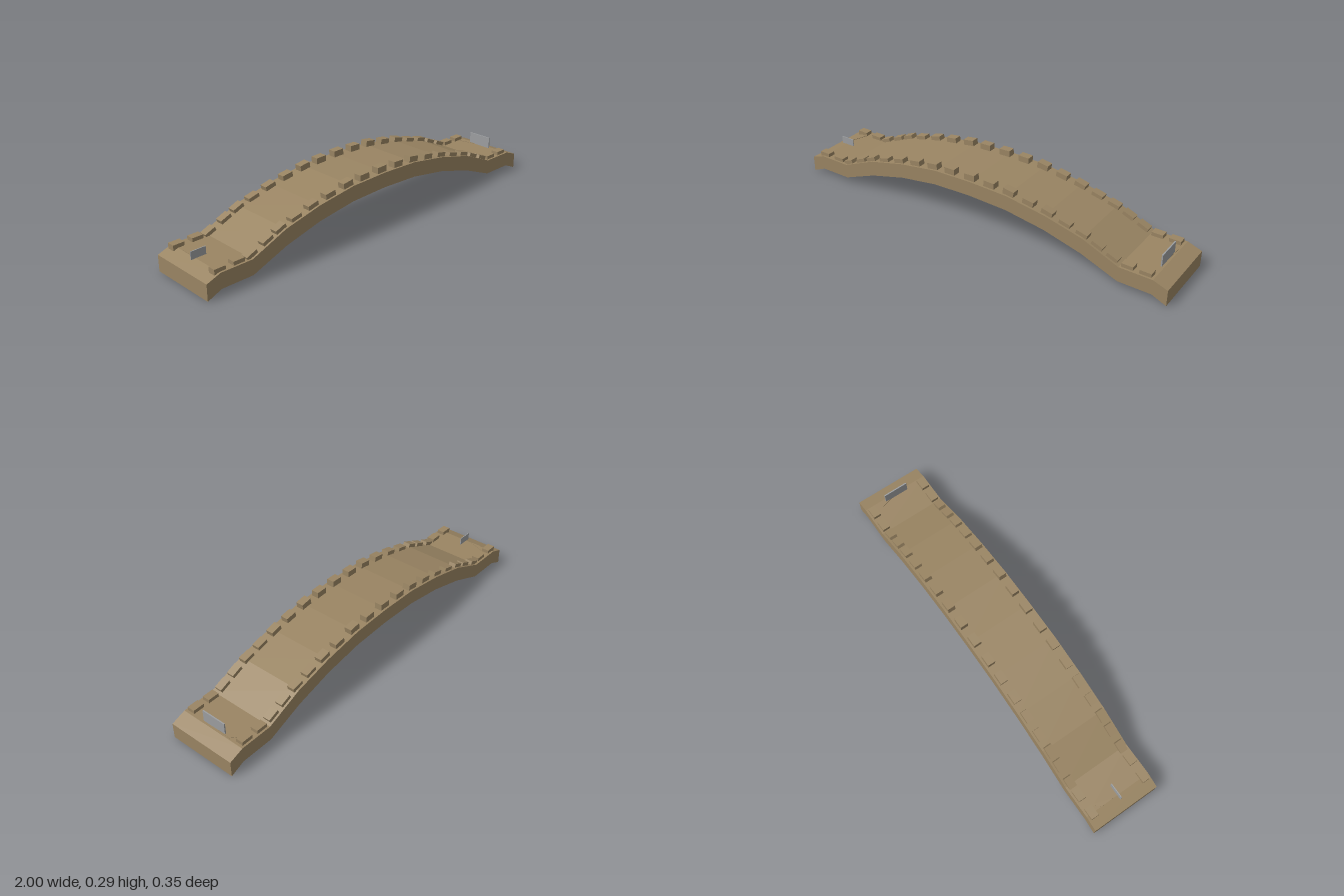
import * as THREE from 'three';

// Half of the deck profile from the crown outward: x, top y, underside y
const PROFILE = [
  [0, 0.26, 0.187], [0.2, 0.254, 0.18], [0.4, 0.224, 0.15], [0.59, 0.178, 0.1],
  [0.77, 0.103, 0.03], [0.93, 0.103, 0.03], [1, 0.078, 0],
];
const HALF_WIDTH = 0.173;

// Height and slope of the deck surface at a given x
function deckAt(x) {
  const a = Math.abs(x);
  let i = 1;
  while (i < PROFILE.length - 1 && PROFILE[i][0] < a) i++;
  const [x0, y0] = PROFILE[i - 1], [x1, y1] = PROFILE[i];
  const slope = (y1 - y0) / (x1 - x0);
  return { y: y0 + slope * (a - x0), angle: Math.atan(slope) * Math.sign(x) };
}

export function createModel() {
  const model = new THREE.Group();
  model.name = 'archedBridge';

  const stone = new THREE.MeshStandardMaterial({ color: 0x9a8563 });
  stone.name = 'brownStone';
  const grey = new THREE.MeshStandardMaterial({ color: 0x9c9ea0 });
  grey.name = 'greyPanel';

  const add = (name, geometry, material, x = 0, y = 0, z = 0) => {
    const mesh = new THREE.Mesh(geometry, material);
    mesh.name = name;
    mesh.position.set(x, y, z);
    model.add(mesh);
    return mesh;
  };

  // Arched deck: mirrored profile extruded across the width
  const left = PROFILE.slice(1).reverse().map(([x, t, b]) => [-x, t, b]);
  const full = [...left, ...PROFILE];
  const outline = [
    ...full.map(([x, , b]) => new THREE.Vector2(x, b)),
    ...full.slice().reverse().map(([x, t]) => new THREE.Vector2(x, t)),
  ];
  const deck = new THREE.ExtrudeGeometry(new THREE.Shape(outline), {
    depth: HALF_WIDTH * 2, bevelEnabled: false,
  });
  deck.translate(0, 0, -HALF_WIDTH);
  add('deck', deck, stone);

  // Kerb stones along both edges, tilted to follow the deck
  const stonesX = [
    -0.925, -0.83, -0.76, -0.675, -0.605, -0.52, -0.425, -0.325, -0.22, -0.12, -0.008,
    0.1, 0.205, 0.308, 0.405, 0.495, 0.58, 0.655, 0.73, 0.805, 0.89,
  ];
  const kerbStone = new THREE.BoxGeometry(0.056, 0.032, 0.038);
  for (const side of [-1, 1]) {
    for (const x of stonesX) {
      const { y, angle } = deckAt(x);
      const rise = 0.018 + 0.012 * Math.max(0, 1 - (x / 0.5) ** 2);
      add('kerbStone', kerbStone, stone, x, y + rise - 0.016, side * 0.144).rotation.z = angle;
    }
  }

  // Small upright panels at each end
  add('crossPanel', new THREE.BoxGeometry(0.006, 0.057, 0.127), grey, 0.916, 0.1315, 0.0015);
  add('sidePanel', new THREE.BoxGeometry(0.075, 0.038, 0.004), grey, -0.915, 0.121, 0);

  // Thin slivers lying on the landings
  const slivers = [
    [[-0.895, -0.13], [-0.93, -0.09], [-0.93, -0.03]],
    [[0.89, -0.12], [0.918, -0.01], [0.924, -0.09]],
  ];
  for (const points of slivers) {
    const shape = new THREE.Shape(points.map(([x, z]) => new THREE.Vector2(x, -z)));
    const plate = new THREE.ExtrudeGeometry(shape, { depth: 0.003, bevelEnabled: false });
    plate.rotateX(-Math.PI / 2);
    add('landingSliver', plate, stone, 0, 0.102, 0);
  }

  return model;
}
